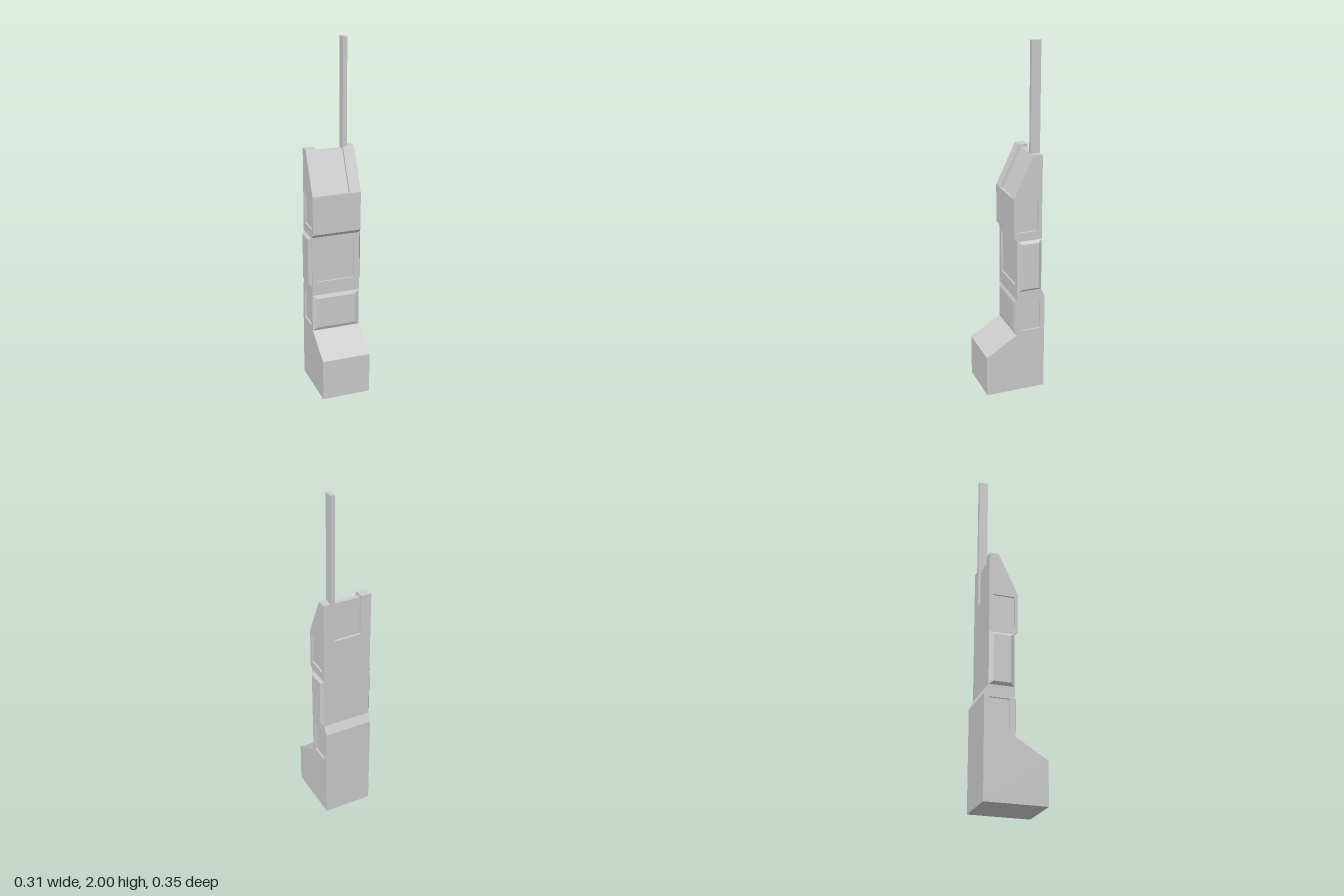
import * as THREE from 'three';

const material = new THREE.MeshStandardMaterial({ color: 0xcccccc, flatShading: true });

export function createModel() {
  const model = new THREE.Group();
  model.name = 'handheldRadio';

  const add = (name, geometry) => {
    const mesh = new THREE.Mesh(geometry, material);
    mesh.name = name;
    model.add(mesh);
    return mesh;
  };
  const toPoints = (list) => list.map(([z, y]) => new THREE.Vector2(z, y));

  // Side outline of the body as [z, y], with optional screen and top recesses
  const outline = (screen, notch) => [
    [0.173, 0], [0.173, 0.24], [-0.005, 0.35],
    ...(screen ? [[-0.005, 0.65], [-0.015, 0.65], [-0.015, 0.89], [-0.005, 0.89]] : []),
    [-0.005, 0.922], [0.013, 0.943], [0.013, 1.165],
    ...(notch
      ? [[-0.003, 1.165], [-0.11, 1.387], [-0.135, 1.387], [-0.135, 1.165], [-0.15, 1.165]]
      : [[-0.098, 1.4], [-0.15, 1.4]]),
    [-0.15, 0.62], [-0.173, 0.57], [-0.173, 0],
  ];

  // Extrudes a side outline across the width from x0 to x1
  const slab = (name, x0, x1, points, holes = []) => {
    const shape = new THREE.Shape(toPoints(points));
    shape.holes = holes.map((h) => new THREE.Path(toPoints(h)));
    const geometry = new THREE.ExtrudeGeometry(shape, { depth: x1 - x0, bevelEnabled: false });
    geometry.rotateY(-Math.PI / 2).translate(x1, 0, 0);
    return add(name, geometry);
  };
  const rect = (z0, z1, y0, y1) => [[z0, y0], [z0, y1], [z1, y1], [z1, y0]];

  // Body core, side to side
  slab('bodyRightEdge', -0.13, -0.11, outline(false, false));
  slab('bodyRightColumn', -0.11, -0.08, outline(true, false));
  slab('bodyCentre', -0.08, 0.075, outline(true, true));
  slab('bodyLeftColumn', 0.075, 0.11, outline(true, false));
  slab('bodyLeftEdge', 0.11, 0.13, outline(false, false));

  // Outer side plates with two sunken windows each
  const windows = [rect(-0.128, -0.005, 0.97, 1.145), rect(-0.145, -0.032, 0.375, 0.55)];
  slab('rightSidePlate', -0.14, -0.13, outline(false, false), windows);
  slab('leftSidePlate', 0.13, 0.14, outline(false, false), windows);

  // Raised pad with sloping edges, base on z = 0 and rising towards +z
  const pad = (name, w, h, topW, topH, rise) => {
    const geometry = new THREE.BoxGeometry(1, 1, 1);
    const p = geometry.attributes.position;
    for (let i = 0; i < p.count; i++) {
      const top = p.getZ(i) > 0;
      p.setXYZ(i, p.getX(i) * (top ? topW : w), p.getY(i) * (top ? topH : h), top ? rise : 0);
    }
    geometry.computeVertexNormals();
    return add(name, geometry);
  };
  for (const [name, side] of [['leftGrip', 1], ['rightGrip', -1]]) {
    const grip = pad(name, 0.14, 0.3, 0.096, 0.27, 0.015);
    grip.rotation.y = side * Math.PI / 2;
    grip.position.set(side * 0.14, 0.77, -0.08);
  }
  pad('lowerFrontPad', 0.28, 0.22, 0.23, 0.18, 0.01).position.set(0, 0.46, -0.005);

  // Antenna
  add('antenna', new THREE.BoxGeometry(0.025, 0.6, 0.052)).position.set(0.086, 1.7, -0.124);

  return model;
}
